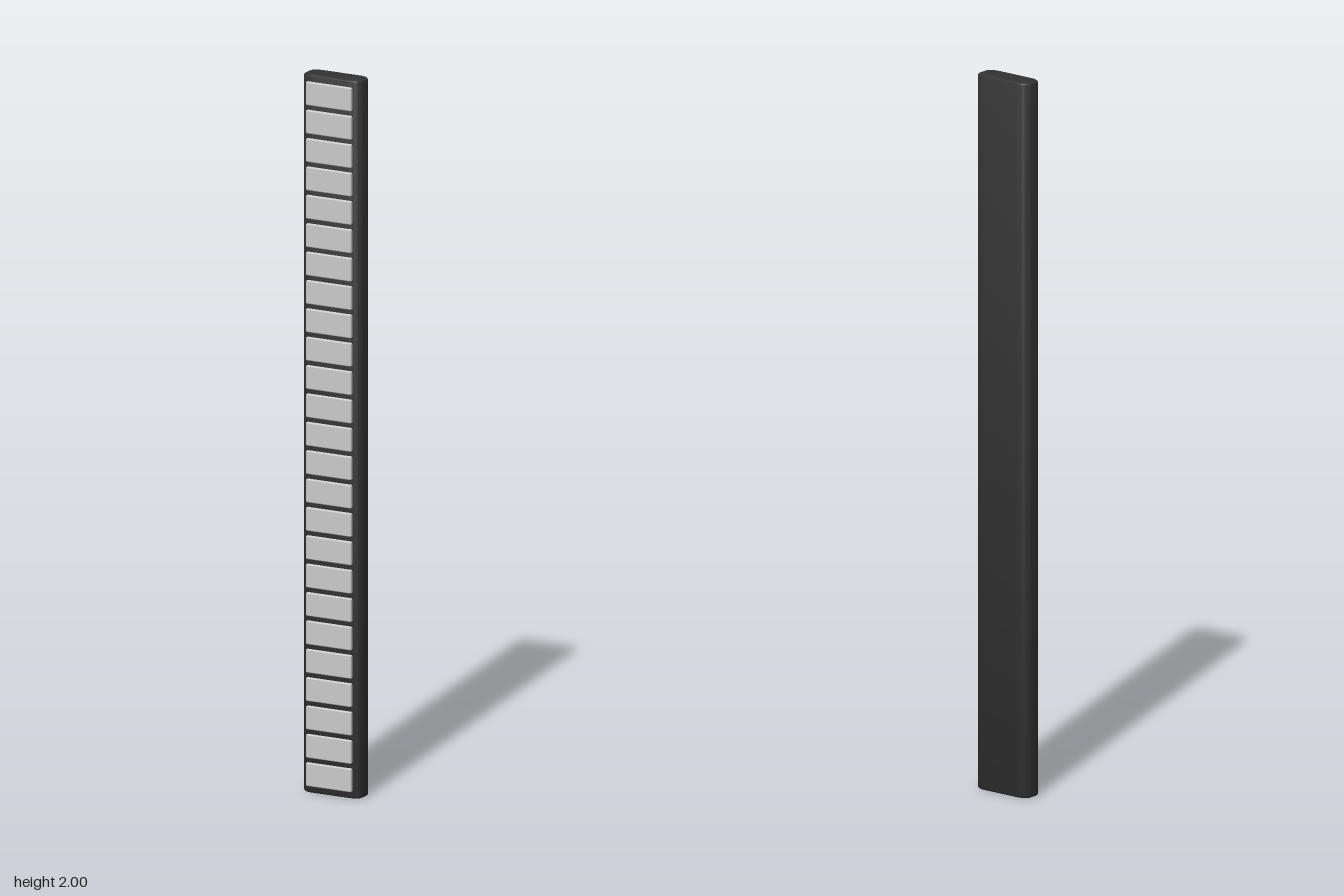
import * as THREE from 'three';
import { toCreasedNormals } from 'three/addons/utils/BufferGeometryUtils.js';
import { RoundedBoxGeometry } from 'three/addons/geometries/RoundedBoxGeometry.js';

const BEVEL = 0.007;

// Rectangle with softly rounded, wider-than-deep corners
function softRect(hw, hd, cx, cy) {
  const s = new THREE.Shape();
  s.moveTo(-hw + cx, -hd);
  s.lineTo(hw - cx, -hd);
  s.quadraticCurveTo(hw, -hd, hw, -hd + cy);
  s.lineTo(hw, hd - cy);
  s.quadraticCurveTo(hw, hd, hw - cx, hd);
  s.lineTo(-hw + cx, hd);
  s.quadraticCurveTo(-hw, hd, -hw, hd - cy);
  s.lineTo(-hw, -hd + cy);
  s.quadraticCurveTo(-hw, -hd, -hw + cx, -hd);
  return s;
}

export function createModel() {
  const group = new THREE.Group();
  group.name = 'lightBar';
  const dark = new THREE.MeshStandardMaterial({ color: 0x333333 });
  const grey = new THREE.MeshStandardMaterial({ color: 0xcccccc });

  // Tall housing with rounded edges
  const bodyGeo = new THREE.ExtrudeGeometry(softRect(0.09 - BEVEL, 0.0335 - BEVEL, 0.028, 0.016), {
    depth: 2 - 2 * BEVEL, bevelEnabled: true, bevelSize: BEVEL,
    bevelThickness: BEVEL, bevelSegments: 4, curveSegments: 8,
  });
  bodyGeo.rotateX(-Math.PI / 2);
  bodyGeo.translate(0, BEVEL, -0.0045);
  const housing = new THREE.Mesh(toCreasedNormals(bodyGeo, 0.6), dark);
  housing.name = 'housing';
  group.add(housing);

  // Column of raised panels on the front
  const panels = new THREE.Group();
  panels.name = 'panels';
  const panelGeo = new RoundedBoxGeometry(0.141, 0.066, 0.02, 3, 0.004);
  const count = 25;
  for (let i = 0; i < count; i++) {
    const panel = new THREE.Mesh(panelGeo, grey);
    panel.name = `panel${i + 1}`;
    panel.position.set(-0.001, 0.052 + i * (1.896 / (count - 1)), 0.026);
    panels.add(panel);
  }
  group.add(panels);
  return group;
}
